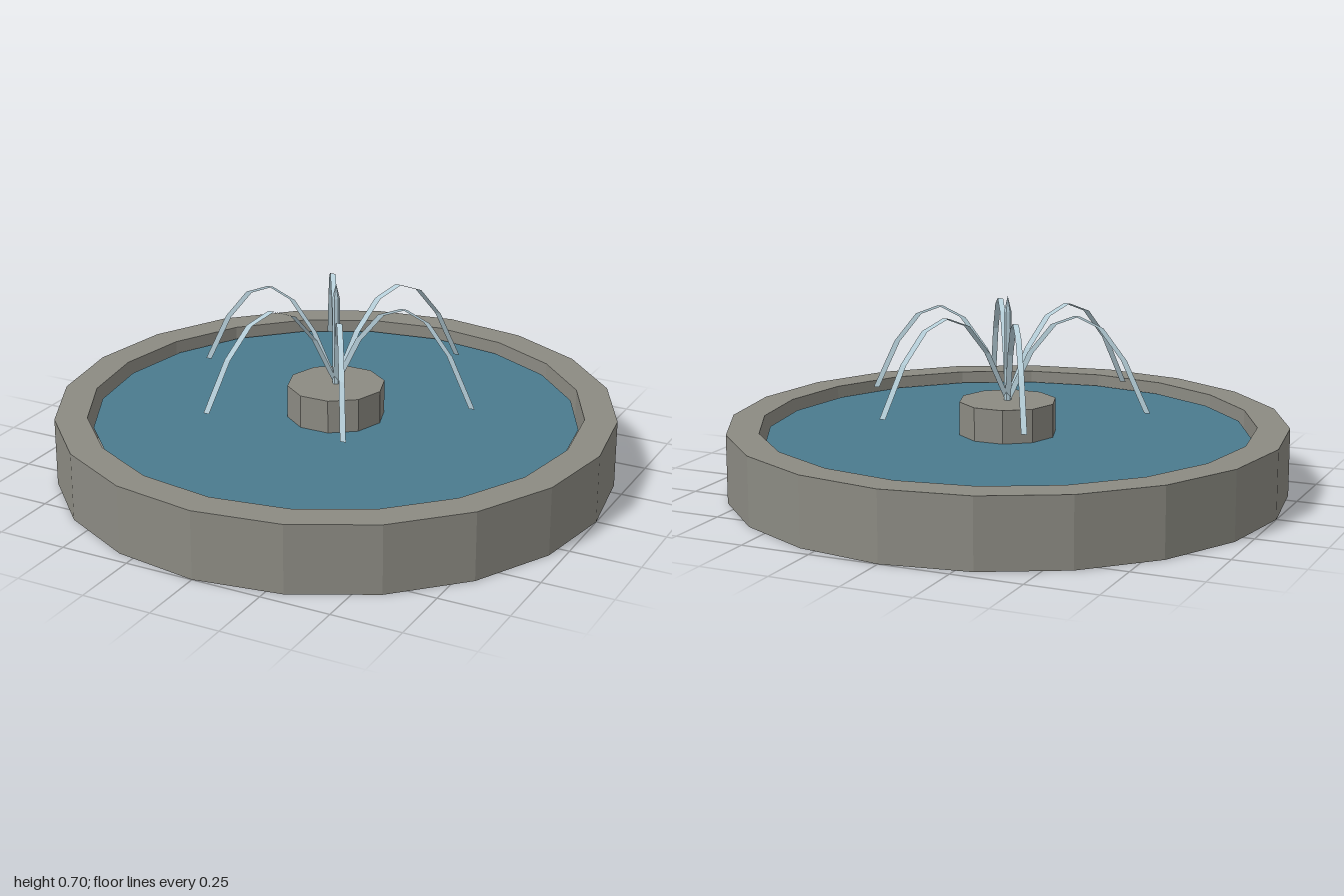
import * as THREE from 'three';

const material = (name, color, options = {}) =>
  Object.assign(new THREE.MeshStandardMaterial({ color, flatShading: true, ...options }), { name });

// Flat ribbon along a parabolic arc, widened sideways along x
function arcRibbon(angle, reach, baseY, rise, halfWidth, steps = 6) {
  const positions = [], index = [];
  for (let i = 0; i <= steps; i++) {
    const t = i / steps;
    const x = Math.cos(angle) * reach * t;
    const z = Math.sin(angle) * reach * t;
    const y = baseY + rise * 4 * t * (1 - t);
    positions.push(x - halfWidth, y, z, x + halfWidth, y, z);
    if (i < steps) {
      const a = i * 2;
      // keep the upper side as the front
      if (Math.sin(angle) > 0) index.push(a, a + 2, a + 1, a + 1, a + 2, a + 3);
      else index.push(a, a + 1, a + 2, a + 1, a + 3, a + 2);
    }
  }
  const geometry = new THREE.BufferGeometry();
  geometry.setAttribute('position', new THREE.Float32BufferAttribute(positions, 3));
  geometry.setIndex(index);
  geometry.computeVertexNormals();
  return geometry;
}

export function createModel() {
  const model = new THREE.Group();
  model.name = 'fountain';
  const stone = material('stone', 0x8b8a82, { side: THREE.DoubleSide });
  const water = material('water', 0x4a7a8e, { side: THREE.DoubleSide });
  const spray = material('spray', 0xb4ccd6, { side: THREE.DoubleSide });

  const add = (name, geometry, mat, y = 0, parent = model) => {
    const mesh = new THREE.Mesh(geometry, mat);
    mesh.name = name;
    mesh.position.y = y;
    parent.add(mesh);
    return mesh;
  };

  // Basin shell: outer wall, rim, inner wall and raised floor, open underneath
  const profile = [[1, 0], [1, 0.245], [0.885, 0.245], [0.885, 0.065], [0, 0.065]]
    .map(([r, y]) => new THREE.Vector2(r, y));
  add('basin', new THREE.LatheGeometry(profile, 20), stone);

  // Water surface, slightly smaller than the basin
  add('waterSurface', new THREE.CircleGeometry(0.865, 20).rotateX(-Math.PI / 2), water, 0.205);

  // Central pedestal
  const top = 0.325, bottom = 0.065;
  add('pedestal', new THREE.CylinderGeometry(0.175, 0.175, top - bottom, 10).rotateY(Math.PI / 2),
    stone, (top + bottom) / 2);

  // Upright jet with a pointed tip
  const jet = new THREE.Group();
  jet.name = 'centralJet';
  model.add(jet);
  add('jetColumn', new THREE.CylinderGeometry(0.013, 0.013, 0.32, 6, 1, true), spray, top + 0.16, jet);
  add('jetTip', new THREE.ConeGeometry(0.013, 0.055, 6, 1, true), spray, top + 0.32 + 0.0275, jet);

  // Six arching sprays around the jet
  for (let i = 0; i < 6; i++) {
    add('arcSpray' + (i + 1), arcRibbon(i * Math.PI / 3, 0.528, top, 0.322, 0.011), spray);
  }
  return model;
}
